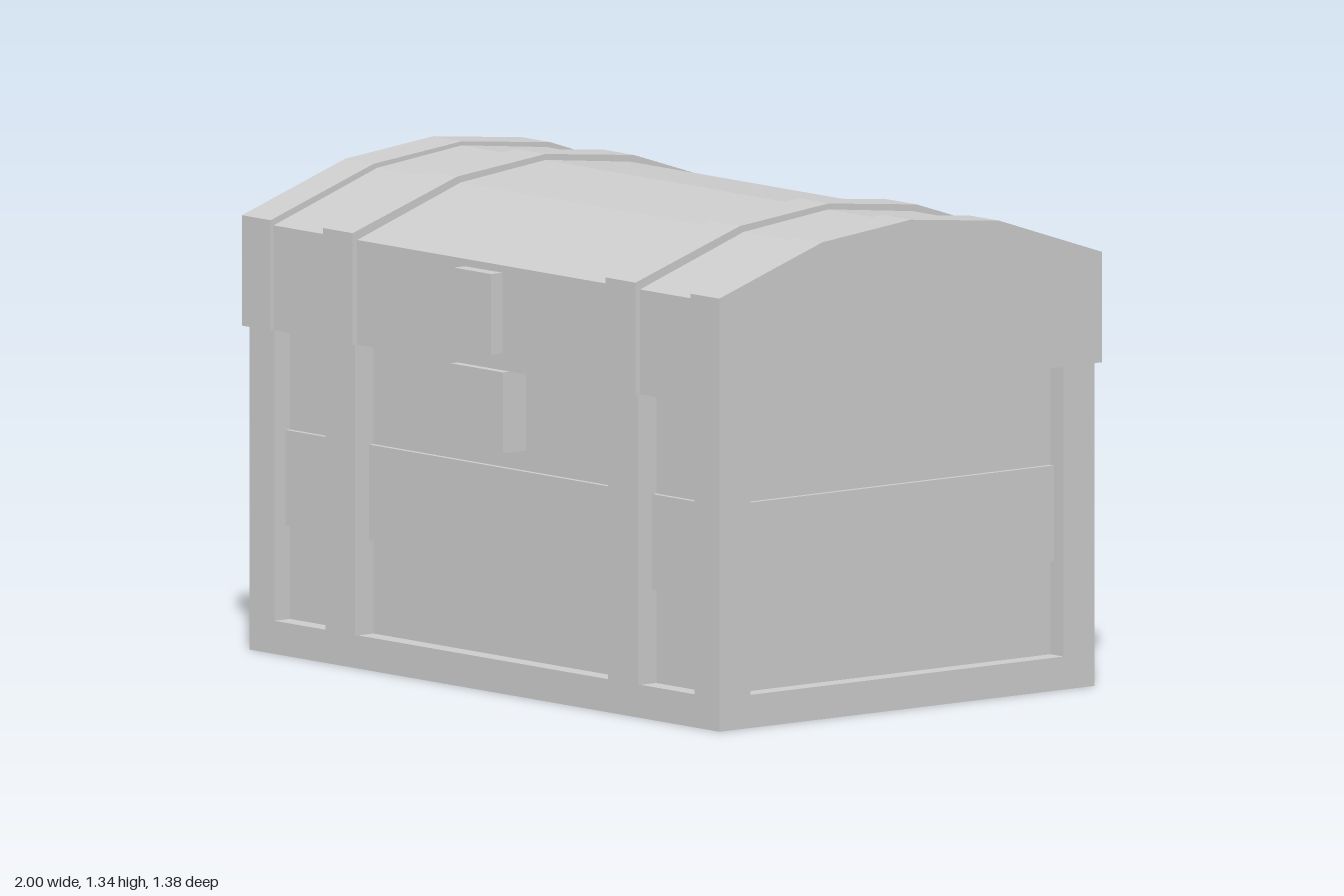
import * as THREE from 'three';

const material = new THREE.MeshStandardMaterial({ color: 0xcccccc, flatShading: true });

function add(group, name, geometry, x = 0, y = 0, z = 0) {
  const mesh = new THREE.Mesh(geometry, material);
  mesh.name = name;
  mesh.position.set(x, y, z);
  group.add(mesh);
  return mesh;
}

// Box given by its extents on each axis
function block(group, name, [x0, x1], [y0, y1], [z0, z1]) {
  return add(group, name, new THREE.BoxGeometry(x1 - x0, y1 - y0, z1 - z0),
    (x0 + x1) / 2, (y0 + y1) / 2, (z0 + z1) / 2);
}

// Slice of the four-sided arched lid, running along x
function lidSlice(group, name, x0, x1, half, shoulder, kneeZ, kneeY, top) {
  const shape = new THREE.Shape([
    [-half, 0.88], [half, 0.88], [half, shoulder], [kneeZ, kneeY],
    [0, top], [-kneeZ, kneeY], [-half, shoulder],
  ].map(([z, y]) => new THREE.Vector2(z, y)));
  const geometry = new THREE.ExtrudeGeometry(shape, { depth: x1 - x0, bevelEnabled: false });
  geometry.rotateY(-Math.PI / 2);
  add(group, name, geometry, x1);
}

export function createModel() {
  const chest = new THREE.Group();
  chest.name = 'chest';

  const body = new THREE.Group();
  body.name = 'body';
  const lid = new THREE.Group();
  lid.name = 'lid';
  const latch = new THREE.Group();
  latch.name = 'latch';
  chest.add(body, lid, latch);
  body.position.z = lid.position.z = -0.0125;

  // Recessed plank walls, with the middle plank standing slightly proud
  block(body, 'plankWalls', [-0.93, 0.93], [0.05, 0.88], [-0.603, 0.603]);
  block(body, 'middlePlanks', [-0.945, 0.945], [0.345, 0.605], [-0.618, 0.618]);

  // Base frame and corner posts
  block(body, 'baseFrame', [-0.985, 0.985], [0, 0.09], [-0.6575, 0.6575]);
  for (const sx of [-1, 1]) {
    for (const sz of [-1, 1]) {
      add(body, 'cornerPost', new THREE.BoxGeometry(0.105, 0.79, 0.1085),
        sx * 0.9325, 0.485, sz * 0.60325);
      // Body straps on front and back
      add(body, 'bodyStrap', new THREE.BoxGeometry(0.125, 0.79, 0.0775),
        sx * 0.5925, 0.485, sz * 0.62875);
    }
  }

  // Arched lid with thicker end bands and two straps
  lidSlice(lid, 'lidPanel', -0.88, 0.88, 0.66, 1.165, 0.297, 1.287, 1.32);
  for (const s of [-1, 1]) {
    lidSlice(lid, 'lidEndBand', s * 0.94 - 0.06, s * 0.94 + 0.06, 0.671, 1.18, 0.31, 1.299, 1.331);
    lidSlice(lid, 'lidStrap', s * 0.5925 - 0.0625, s * 0.5925 + 0.0625, 0.676, 1.185, 0.31, 1.304, 1.336);
  }

  // Latch plates
  block(latch, 'latchHasp', [-0.078, 0.078], [0.925, 1.145], [0.62, 0.687]);
  block(latch, 'latchPlate', [-0.109, 0.109], [0.66, 0.88], [0.57, 0.672]);

  return chest;
}
